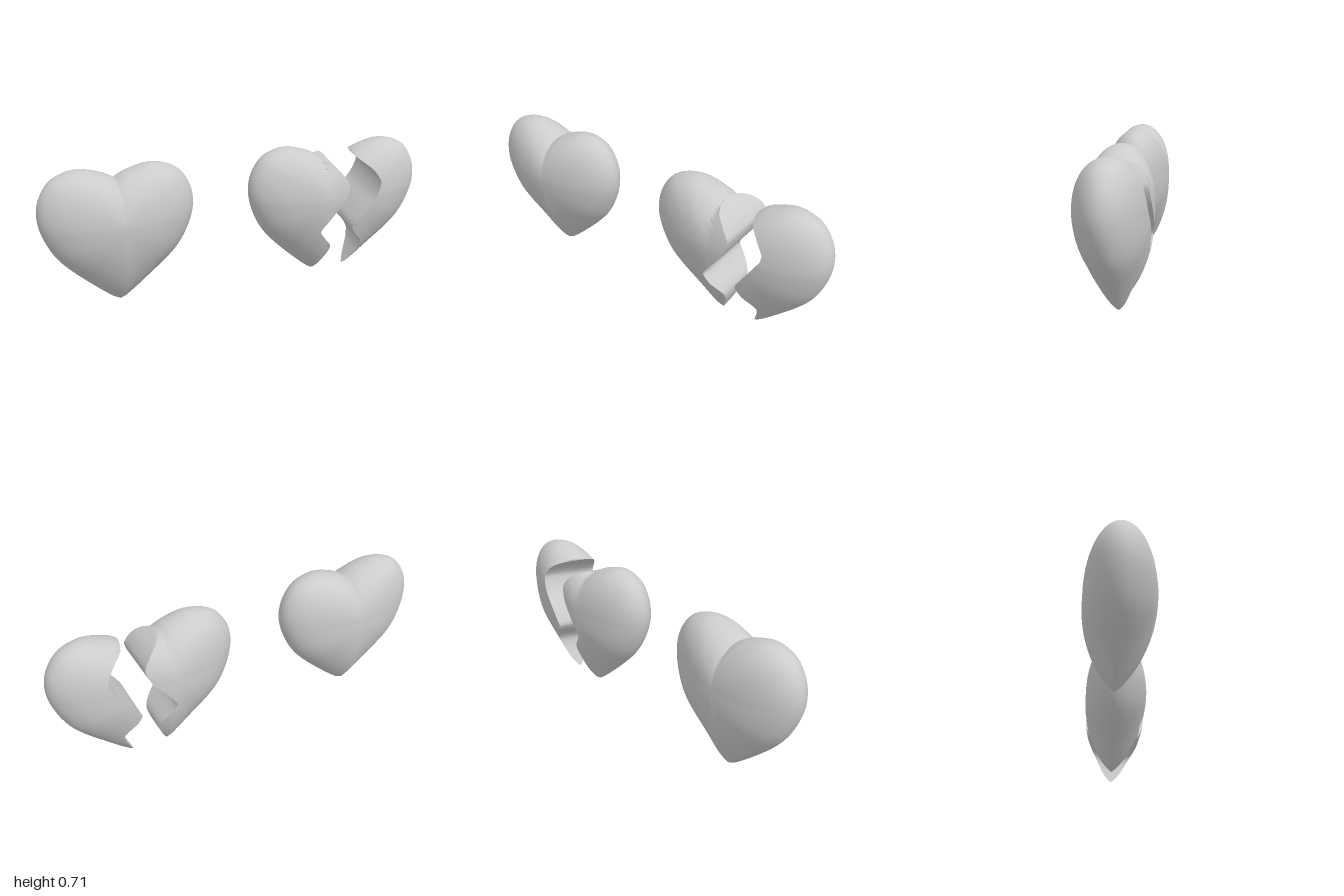
import * as THREE from 'three';
import { toCreasedNormals } from 'three/addons/utils/BufferGeometryUtils.js';

const spline = (pts, n = 240) =>
  new THREE.SplineCurve(pts.map(([x, y]) => new THREE.Vector2(x, y))).getPoints(n);

// linear lookup in a table of [key, value] with rising keys
function lookup(table, k) {
  if (k <= table[0][0]) return table[0][1];
  for (let i = 1; i < table.length; i++) {
    const [k0, v0] = table[i - 1], [k1, v1] = table[i];
    if (k <= k1) return v0 + (v1 - v0) * (k - k0) / (k1 - k0 || 1);
  }
  return table[table.length - 1][1];
}

// half outline of the heart, from the cleft over the lobe to the tip
const outline = spline([[0, .645], [.06, .677], [.18, .705], [.295, .672], [.36, .59], [.38, .495],
  [.362, .395], [.31, .285], [.235, .195], [.12, .088], [.035, .018], [0, 0]]);
const CENTRE = .44, DEPTH = .17;
const radius = outline.map(p => [Math.atan2(p.x, p.y - CENTRE), Math.hypot(p.x, p.y - CENTRE)]);
const peak = outline.reduce((best, p, i) => (p.y > outline[best].y ? i : best), 0);
const TOP = outline[peak].y, CLEFT = outline[0].y;
const innerX = outline.slice(0, peak + 1).map(p => [p.y, p.x]);
const outerX = outline.slice(peak).reverse().map(p => [p.y, p.x]);

// jagged crack line, x by height
const crack = spline([[0, 0], [.03, .06], [.057, .13], [.053, .18], [-.012, .262], [-.02, .3], [.03, .375],
  [.09, .45], [.118, .52], [.112, .553], [.07, .605], [0, .65]]).map(p => [p.y, p.x]);

// middle plane and half thickness of the heart
const middle = y => -.026 * Math.max(0, 1 - y / .45);
function thickness(x, y) {
  const r = Math.hypot(x, y - CENTRE);
  if (r < 1e-6) return DEPTH;
  const s = Math.min(1, r / lookup(radius, Math.atan2(Math.abs(x), y - CENTRE)));
  const down = Math.max(0, (CENTRE - y) / r);
  return DEPTH * Math.pow(1 - s * s, .5 + .3 * down ** 4);
}

// skin over equal closed loops of points
function skin(rings, flip, crease) {
  const n = rings[0].length, index = [];
  for (let j = 0; j < rings.length - 1; j++) {
    for (let i = 0; i < n; i++) {
      const a = j * n + i, b = j * n + (i + 1) % n, c = a + n, d = b + n;
      index.push(...(flip ? [a, b, c, b, d, c] : [a, c, b, b, c, d]));
    }
  }
  const geo = new THREE.BufferGeometry();
  geo.setAttribute('position', new THREE.Float32BufferAttribute(rings.flat(2), 3));
  geo.setIndex(index);
  // enlarged while creasing, so that only coincident points are joined
  geo.scale(200, 200, 200);
  const out = toCreasedNormals(geo, crease);
  out.scale(1 / 200, 1 / 200, 1 / 200);
  return out;
}

// whole heart: rings from the front middle out to the rim and in again at the back
function heartGeometry() {
  const rings = [], m = 48, n = 96;
  for (let k = 0; k <= m; k++) {
    const s = k === m ? 0 : Math.sin(Math.PI * k / m), ring = [];
    for (let i = 0; i < n; i++) {
      const a = 2 * Math.PI * i / n;
      const r = s * lookup(radius, Math.min(a, 2 * Math.PI - a));
      const x = r * Math.sin(a), y = CENTRE + r * Math.cos(a);
      const h = k * 2 === m ? 0 : thickness(x, y);
      ring.push([x, y, middle(y) + (k * 2 < m ? h : -h)]);
    }
    rings.push(ring);
  }
  return skin(rings, true, .8);
}

// broken half: level slices between the outline and the slanted crack
function pieceGeometry(side) {
  const rings = [], rows = 90, m = 26, faces = 8;
  const edge = (y, z) => y > CLEFT ? side * lookup(innerX, y) : lookup(crack, y + .13 * z) - .05 * z;
  for (let j = 0; j <= rows; j++) {
    const y = TOP * (1 - Math.cos(Math.PI * j / rows)) / 2;
    const xo = side * lookup(outerX, y), z0 = middle(y);
    const arc = dir => {
      let z = z0;
      for (let k = 0; k < 12; k++) z = z0 + dir * thickness(edge(y, z), y);
      const xi = edge(y, z), pts = [];
      for (let i = 0; i <= m; i++) {
        const x = xo + (xi - xo) * (1 - Math.cos(Math.PI * i / m)) / 2;
        pts.push([x, y, i === 0 ? z0 : i === m ? z : z0 + dir * thickness(x, y)]);
      }
      return pts;
    };
    const front = arc(1), back = arc(-1), face = [];
    for (let i = 1; i < faces; i++) {
      const z = THREE.MathUtils.lerp(front[m][2], back[m][2], i / faces);
      face.push([edge(y, z), y, z]);
    }
    rings.push([...front, ...face, ...back.slice(1).reverse()]);
  }
  return skin(rings, side < 0, .65);
}

export function createModel() {
  const model = new THREE.Group();
  const material = new THREE.MeshStandardMaterial({ color: 0xcccccc });
  const add = (parent, name, geometry, x) => {
    const mesh = new THREE.Mesh(geometry, material);
    mesh.name = name;
    mesh.position.x = x;
    parent.add(mesh);
  };

  add(model, 'wholeHeart', heartGeometry(), -.62);

  // heart split in two halves, drawn apart
  const broken = new THREE.Group();
  broken.name = 'brokenHeart';
  add(broken, 'rightHalf', pieceGeometry(-1), .44);
  add(broken, 'leftHalf', pieceGeometry(1), .62);
  model.add(broken);
  return model;
}
